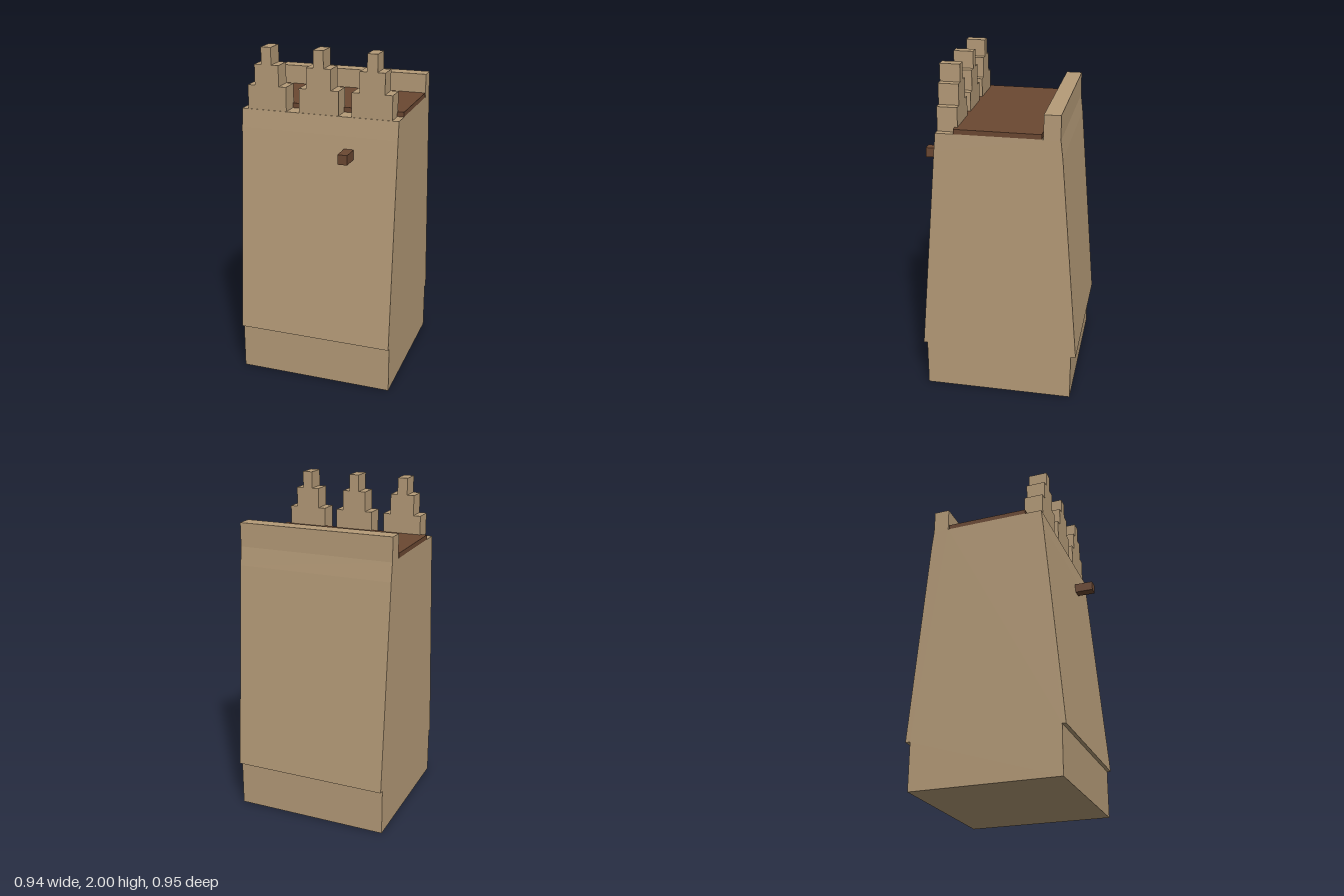
import * as THREE from 'three';

const HALF_WIDTH = 0.468;

export function createModel() {
  const model = new THREE.Group();
  const sandstone = new THREE.MeshStandardMaterial({ color: 0xb59b78 });
  sandstone.name = 'sandstone';
  const wood = new THREE.MeshStandardMaterial({ color: 0x6b4832 });
  wood.name = 'brown wood';

  const add = (name, geometry, material, parent = model) => {
    const mesh = new THREE.Mesh(geometry, material);
    mesh.name = name;
    parent.add(mesh);
    return mesh;
  };

  // Box given by its limits on each axis
  const block = (name, [x0, x1], [y0, y1], [z0, z1], material, parent) => {
    const mesh = add(name, new THREE.BoxGeometry(x1 - x0, y1 - y0, z1 - z0), material, parent);
    mesh.position.set((x0 + x1) / 2, (y0 + y1) / 2, (z0 + z1) / 2);
    return mesh;
  };

  // Tower wall: side profile in (z, y) with plinth, battered faces and rear parapet
  const profile = [
    [0.44, 0], [0.44, 0.285], [0.462, 0.285], [0.354, 1.53], [0.343, 1.64],
    [-0.262, 1.64], [-0.262, 1.78], [-0.356, 1.78], [-0.357, 1.64], [-0.37, 1.53],
    [-0.475, 0.285], [-0.446, 0.285], [-0.446, 0],
  ].map(([z, y]) => new THREE.Vector2(z, y));
  const wall = new THREE.ExtrudeGeometry(new THREE.Shape(profile), {
    depth: 2 * HALF_WIDTH, bevelEnabled: false,
  });
  wall.translate(0, 0, -HALF_WIDTH).rotateY(-Math.PI / 2);
  add('towerWall', wall, sandstone);

  // Flat roof deck
  block('roofDeck', [-HALF_WIDTH, HALF_WIDTH], [1.64, 1.668], [-0.253, 0.24], wood);

  // Stepped merlons along the front edge
  const steps = [[0.117, 1.64, 1.78], [0.073, 1.78, 1.9], [0.03, 1.9, 2]];
  for (const x of [-0.312, 0, 0.312]) {
    const merlon = new THREE.Group();
    merlon.name = 'steppedMerlon';
    for (const [half, y0, y1] of steps) {
      block('merlonStep', [x - half, x + half], [y0, y1], [0.224, 0.34], sandstone, merlon);
    }
    model.add(merlon);
  }

  // Water spout projecting from the front wall
  block('waterSpout', [0.158, 0.215], [1.403, 1.46], [0.34, 0.475], wood);

  return model;
}
